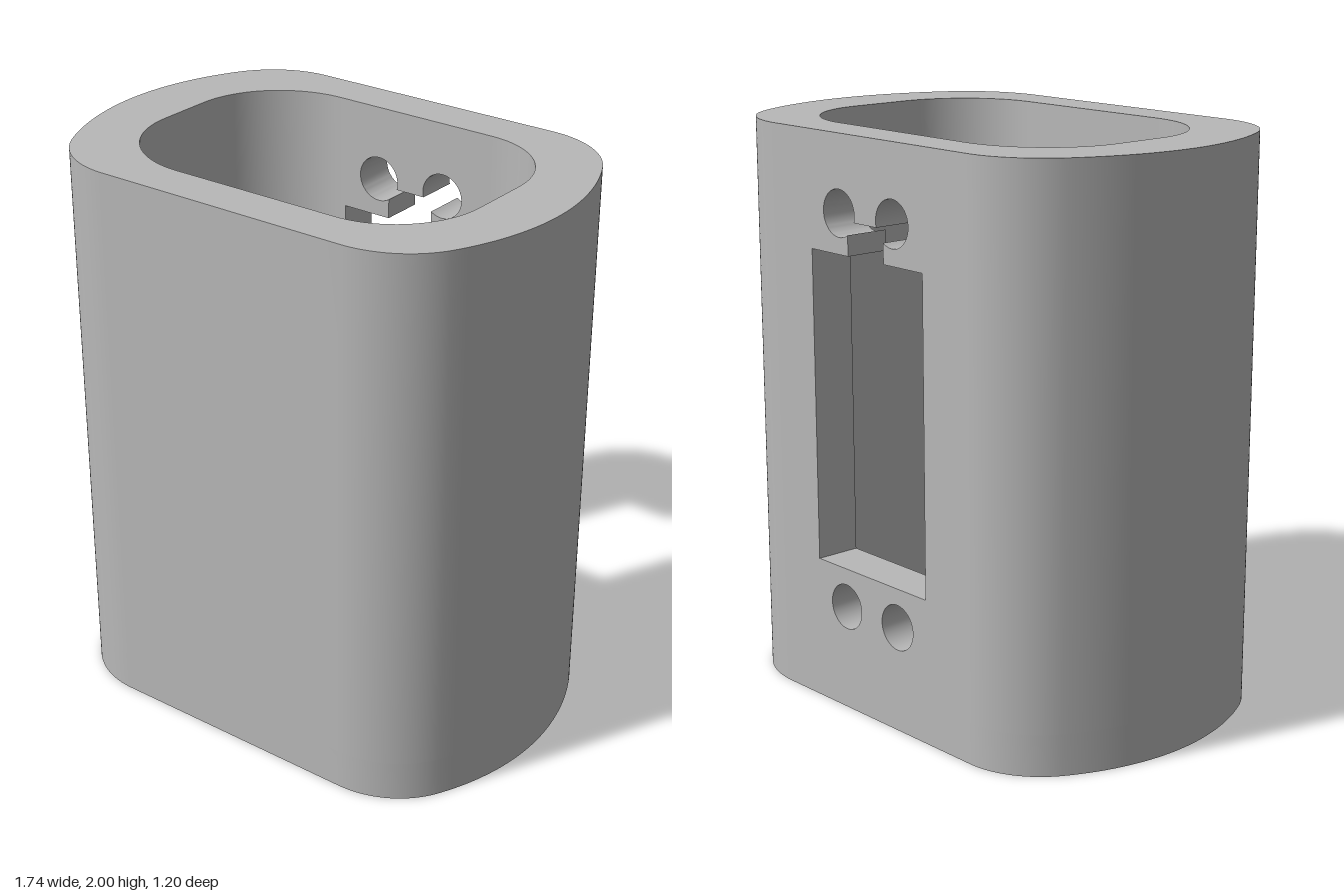
import * as THREE from 'three';
import { toCreasedNormals } from 'three/addons/utils/BufferGeometryUtils.js';

const FLOOR = 0.145, HEIGHT = 2;
const SLOT = [-0.3, 0.33]; // x range of the separately built back panel

// slightly slanted back wall: distance behind the centre, outside and inside
const outerBack = (x) => 0.5917 + 0.0177 * x;
const innerBack = (x) => 0.4333 + 0.0111 * x;

// rounded corner from the current point towards (cx, cy), ending at (x, y)
function corner(path, cx, cy, x, y, k) {
  const p = path.currentPoint;
  path.bezierCurveTo(p.x + (cx - p.x) * k, p.y + (cy - p.y) * k, x + (cx - x) * k, y + (cy - y) * k, x, y);
}

// outer outline (plan, back is up) from the back right corner round to the back left one
function traceOuter(s) {
  s.lineTo(0.47, 0.6);
  corner(s, 0.666, 0.598, 0.76, 0.43, 0.62);
  corner(s, 0.87, 0.224, 0.87, 0, 0.65);
  corner(s, 0.87, -0.224, 0.76, -0.42, 0.65);
  corner(s, 0.666, -0.58, 0.47, -0.582, 0.62);
  s.lineTo(-0.47, -0.598);
  corner(s, -0.666, -0.6, -0.76, -0.43, 0.62);
  corner(s, -0.873, -0.224, -0.873, 0, 0.65);
  corner(s, -0.873, 0.224, -0.76, 0.42, 0.65);
  corner(s, -0.666, 0.582, -0.49, 0.583, 0.62);
}

function circle(x, y, r) {
  const p = new THREE.Path();
  p.absarc(x, y, r, 0, Math.PI * 2, false);
  return p;
}

const extrude = (shape, depth) =>
  new THREE.ExtrudeGeometry(shape, { depth, bevelEnabled: false, curveSegments: 24 });

export function createModel() {
  const group = new THREE.Group();
  const grey = new THREE.MeshStandardMaterial({ color: 0xb8b8b8 });
  grey.name = 'grey plastic';
  const add = (name, geometry) => {
    const mesh = new THREE.Mesh(toCreasedNormals(geometry, 0.5), grey);
    mesh.name = name;
    group.add(mesh);
  };

  // floor with a centre hole and four screw holes
  const floor = new THREE.Shape();
  floor.moveTo(0.47, 0.6);
  traceOuter(floor);
  floor.closePath();
  floor.holes.push(circle(0, 0, 0.088));
  for (const x of [-0.43, 0.43])
    for (const y of [0.243, -0.24]) floor.holes.push(circle(x, y, 0.046));
  add('floor', extrude(floor, FLOOR).rotateX(-Math.PI / 2));

  // walls around the cavity, open where the back panel sits
  const [x0, x1] = SLOT;
  const wall = new THREE.Shape();
  wall.moveTo(x1, outerBack(x1));
  traceOuter(wall);
  wall.lineTo(x0, outerBack(x0));
  wall.lineTo(x0, innerBack(x0));
  corner(wall, -0.645, 0.43, -0.645, 0.1, 0.55);
  wall.lineTo(-0.645, -0.1);
  corner(wall, -0.645, -0.437, -0.3, -0.437, 0.55);
  wall.lineTo(0.33, -0.424);
  corner(wall, 0.643, -0.424, 0.643, -0.1, 0.55);
  wall.lineTo(0.643, 0.12);
  corner(wall, 0.643, 0.437, x1, innerBack(x1), 0.55);
  wall.closePath();
  add('walls', extrude(wall, HEIGHT - FLOOR).rotateX(-Math.PI / 2).translate(0, FLOOR, 0));

  // back panel: window with a notch that breaks into the two upper holes
  const panel = new THREE.Shape();
  panel.moveTo(x0, FLOOR);
  panel.lineTo(x1, FLOOR);
  panel.lineTo(x1, HEIGHT);
  panel.lineTo(x0, HEIGHT);
  panel.closePath();
  const hx = 0.134, hy = 1.737, r = 0.08, notch = 0.09, ceiling = 1.715;
  const a = Math.acos((hx - notch) / r);        // where the notch side meets a hole
  const b = Math.asin((hy - ceiling) / r);      // where the notch ceiling meets a hole
  const win = new THREE.Path();
  win.moveTo(-0.28, 0.51);
  win.lineTo(0.28, 0.51);
  win.lineTo(0.28, 1.6);
  win.lineTo(notch, 1.6);
  win.absarc(hx, hy, r, a - Math.PI, Math.PI + b, false);
  win.absarc(-hx, hy, r, -b, 2 * Math.PI - a, false);
  win.lineTo(-notch, 1.6);
  win.lineTo(-0.28, 1.6);
  win.closePath();
  panel.holes.push(win, circle(hx, 0.372, r), circle(-hx, 0.372, r));
  const back = extrude(panel, 1);
  const pos = back.attributes.position;
  for (let i = 0; i < pos.count; i++) {
    const x = pos.getX(i);
    pos.setZ(i, pos.getZ(i) < 0.5 ? -outerBack(x) : -innerBack(x));
  }
  add('backPanel', back);

  return group;
}
